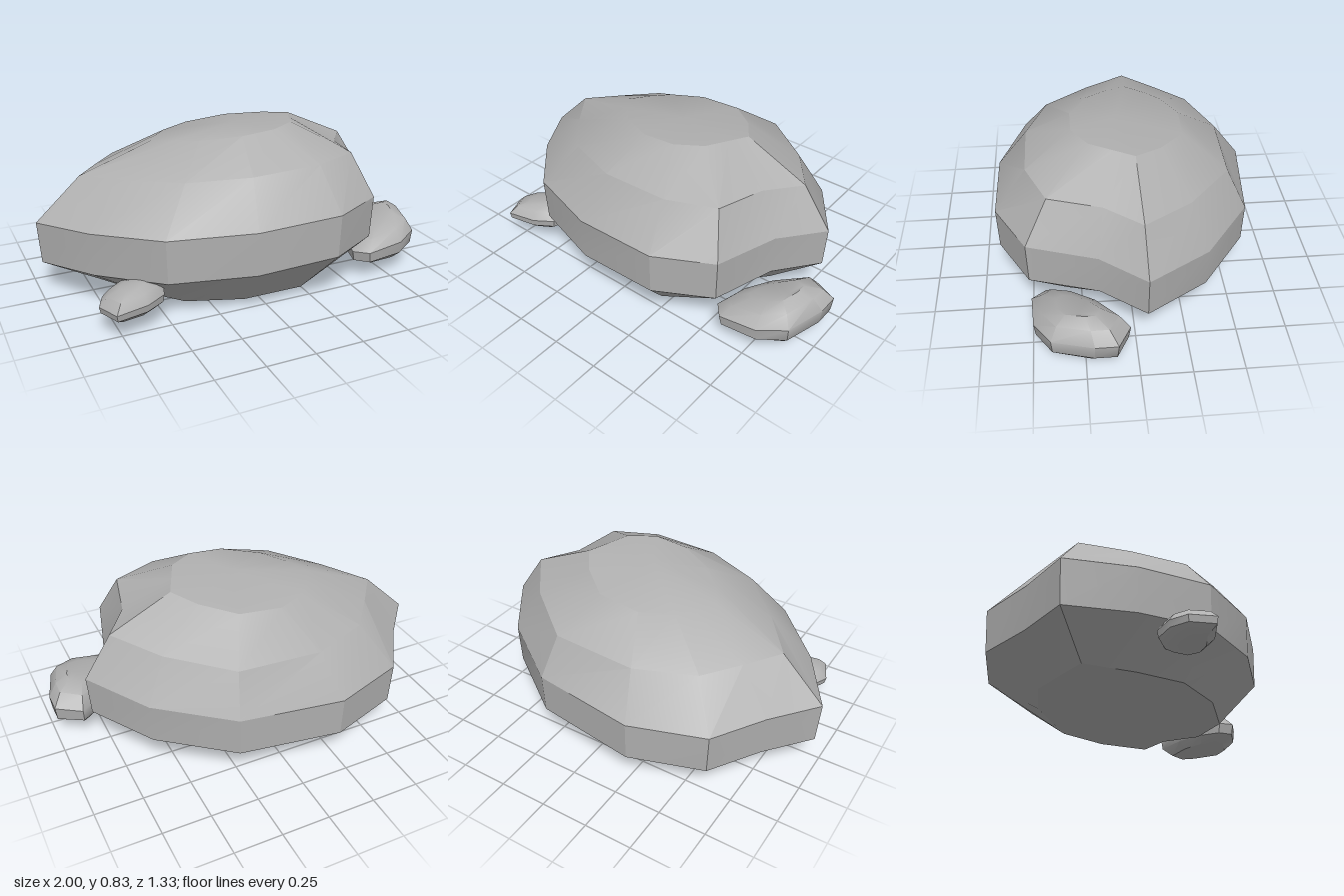
import * as THREE from 'three';
import { toCreasedNormals } from 'three/addons/utils/BufferGeometryUtils.js';

const stone = new THREE.MeshStandardMaterial({ color: 0xb0b0b0 });
stone.name = 'grey stone';

// Skin a stack of rings (bottom to top, clockwise from above) and close both ends
function skin(name, rings, bottom, top, crease) {
  const n = rings[0].length;
  const pos = [...rings.flat(), bottom, top].flat();
  const b = rings.length * n, t = b + 1, last = b - n;
  const idx = [];
  for (let j = 0; j < n; j++) {
    const k = (j + 1) % n;
    for (let r = 0; r < rings.length - 1; r++) {
      const lo = r * n, hi = lo + n;
      idx.push(lo + k, lo + j, hi + j, lo + k, hi + j, hi + k);
    }
    idx.push(b, j, k, t, last + k, last + j);
  }
  const g = new THREE.BufferGeometry();
  g.setAttribute('position', new THREE.Float32BufferAttribute(pos, 3));
  g.setIndex(idx);
  const mesh = new THREE.Mesh(toCreasedNormals(g, crease), stone);
  mesh.name = name;
  return mesh;
}

// Lift a flat outline onto a tilted plane y = h + sx * x + sz * z
const lift = (outline, h, sx, sz) => outline.map(([x, z]) => [x, h + sx * x + sz * z, z]);

// Pebble: one outline repeated at several scales and heights
function pebble(name, outline, cx, cz, layers, slope, bottomY, topY, topX) {
  const rings = layers.map(([s, y, tilt]) => outline.map(([x, z]) =>
    [cx + (x - cx) * s, y + slope * tilt * (x - cx), cz + (z - cz) * s]));
  return skin(name, rings, [cx, bottomY, cz], [topX, topY, cz], 0.65);
}

export function createModel() {
  const group = new THREE.Group();
  group.name = 'rocks';

  // Boulder outlines: foot, widest belt, shoulder and crown
  const foot = [[-0.7, -0.05], [-0.57, -0.2], [-0.45, -0.33], [-0.2, -0.41], [0.2, -0.39], [0.42, -0.23],
    [0.57, -0.01], [0.45, 0.12], [0.41, 0.32], [0.22, 0.46], [-0.1, 0.46], [-0.38, 0.36], [-0.55, 0.17]];
  const belt = [[-1, -0.07], [-0.81, -0.29], [-0.64, -0.54], [-0.26, -0.67], [0.28, -0.61], [0.64, -0.36],
    [0.855, -0.05], [0.69, 0.17], [0.6, 0.51], [0.32, 0.66], [-0.12, 0.655], [-0.53, 0.52], [-0.81, 0.23]];
  const shoulder = [[-0.77, -0.06], [-0.64, -0.23], [-0.5, -0.4], [-0.2, -0.52], [0.24, -0.51], [0.53, -0.28],
    [0.71, -0.04], [0.58, 0.14], [0.52, 0.4], [0.28, 0.5], [-0.08, 0.5], [-0.38, 0.39], [-0.6, 0.16]];
  const crown = [[-0.39, -0.04], [-0.33, -0.14], [-0.26, -0.22], [-0.1, -0.3], [0.13, -0.29], [0.29, -0.16],
    [0.38, -0.03], [0.33, 0.08], [0.28, 0.19], [0.15, 0.27], [-0.03, 0.27], [-0.22, 0.18], [-0.32, 0.07]];
  const lowerBelt = belt.map(([x, z]) => [x * 0.985, z * 0.99]);
  group.add(skin('boulder', [
    lift(foot, 0.03, 0, 0),
    lift(lowerBelt, 0.215, 0.035, 0.06),
    lift(belt, 0.43, 0.03, 0.07),
    lift(shoulder, 0.645, 0.035, 0.09),
    lift(crown, 0.79, 0.08, 0.11),
  ], [-0.03, 0, 0.02], [0.03, 0.825, 0.04], 0.4));

  // Larger pebble on the left, leaning up outwards
  group.add(pebble('leftPebble',
    [[0.69, 0.17], [0.87, 0.035], [1, 0.1], [1, 0.21], [0.94, 0.41], [0.81, 0.49], [0.61, 0.5], [0.55, 0.43], [0.58, 0.32]],
    0.79, 0.28,
    [[0.7, 0.068, 0.1], [0.96, 0.115, 0.6], [1, 0.18, 1], [0.78, 0.24, 1.2], [0.45, 0.268, 1]],
    0.12, 0.062, 0.28, 0.85));

  // Smaller pebble on the right
  group.add(pebble('rightPebble',
    [[-0.8, 0.36], [-0.7, 0.29], [-0.57, 0.3], [-0.5, 0.39], [-0.53, 0.48], [-0.63, 0.54], [-0.79, 0.57], [-0.84, 0.45]],
    -0.67, 0.43,
    [[0.62, 0.085, 0], [0.96, 0.12, 0.5], [1, 0.155, 1], [0.75, 0.198, 1], [0.4, 0.218, 0.8]],
    0.04, 0.08, 0.225, -0.64));

  return group;
}
